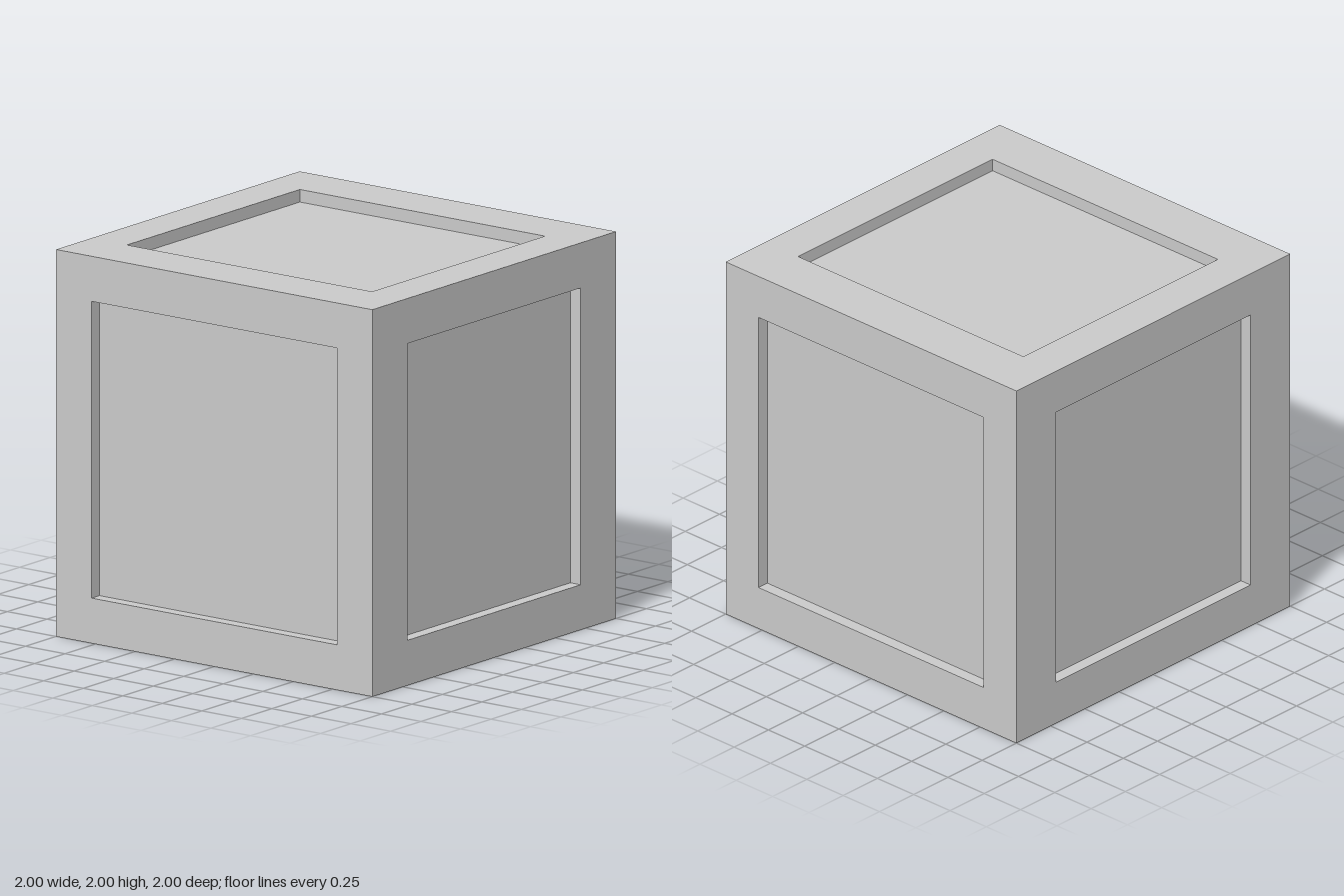
import * as THREE from 'three';

const HALF = 1;       // half the cube's edge
const DEPTH = 0.065;  // depth of the recessed panels
const OPEN = { x: 0.775, y: 0.767, z: 0.71 }; // half sizes of the openings

const material = new THREE.MeshStandardMaterial({ color: 0xcccccc, flatShading: true });

// Four corners of a rectangle facing +z, counter-clockwise
const rect = (hu, hv, z) => [[-hu, -hv, z], [hu, -hv, z], [hu, hv, z], [-hu, hv, z]];

// Band of four quads joining an outer loop to an inner loop
function band(outer, inner) {
  const points = [];
  for (let i = 0; i < 4; i++) {
    const j = (i + 1) % 4;
    points.push(outer[i], outer[j], inner[j], outer[i], inner[j], inner[i]);
  }
  const geometry = new THREE.BufferGeometry();
  geometry.setAttribute('position', new THREE.Float32BufferAttribute(points.flat(), 3));
  geometry.computeVertexNormals();
  return geometry;
}

function addMesh(group, name, geometry) {
  const mesh = new THREE.Mesh(geometry, material);
  mesh.name = name;
  group.add(mesh);
  return mesh;
}

// One side of the crate: flat border, recess walls and sunken panel
function createSide(name, hu, hv) {
  const side = new THREE.Group();
  side.name = name;
  const rim = rect(hu, hv, HALF);
  const floor = rect(hu, hv, HALF - DEPTH);
  addMesh(side, 'border', band(rect(HALF, HALF, HALF), rim));
  addMesh(side, 'recessWalls', band(rim, floor));
  addMesh(side, 'panel', new THREE.PlaneGeometry(2 * hu, 2 * hv)).position.z = HALF - DEPTH;
  return side;
}

export function createModel() {
  const crate = new THREE.Group();
  crate.name = 'crate';

  // name, half width, half height, turn about x, turn about y
  const q = Math.PI / 2;
  const sides = [
    ['frontSide', OPEN.x, OPEN.y, 0, 0],
    ['backSide', OPEN.x, OPEN.y, 0, 2 * q],
    ['leftSide', OPEN.z, OPEN.y, 0, q],
    ['rightSide', OPEN.z, OPEN.y, 0, -q],
    ['topSide', OPEN.x, OPEN.z, -q, 0],
    ['bottomSide', OPEN.x, OPEN.z, q, 0],
  ];
  for (const [name, hu, hv, rx, ry] of sides) {
    const side = createSide(name, hu, hv);
    side.rotation.set(rx, ry, 0);
    side.position.y = HALF;
    crate.add(side);
  }
  return crate;
}
